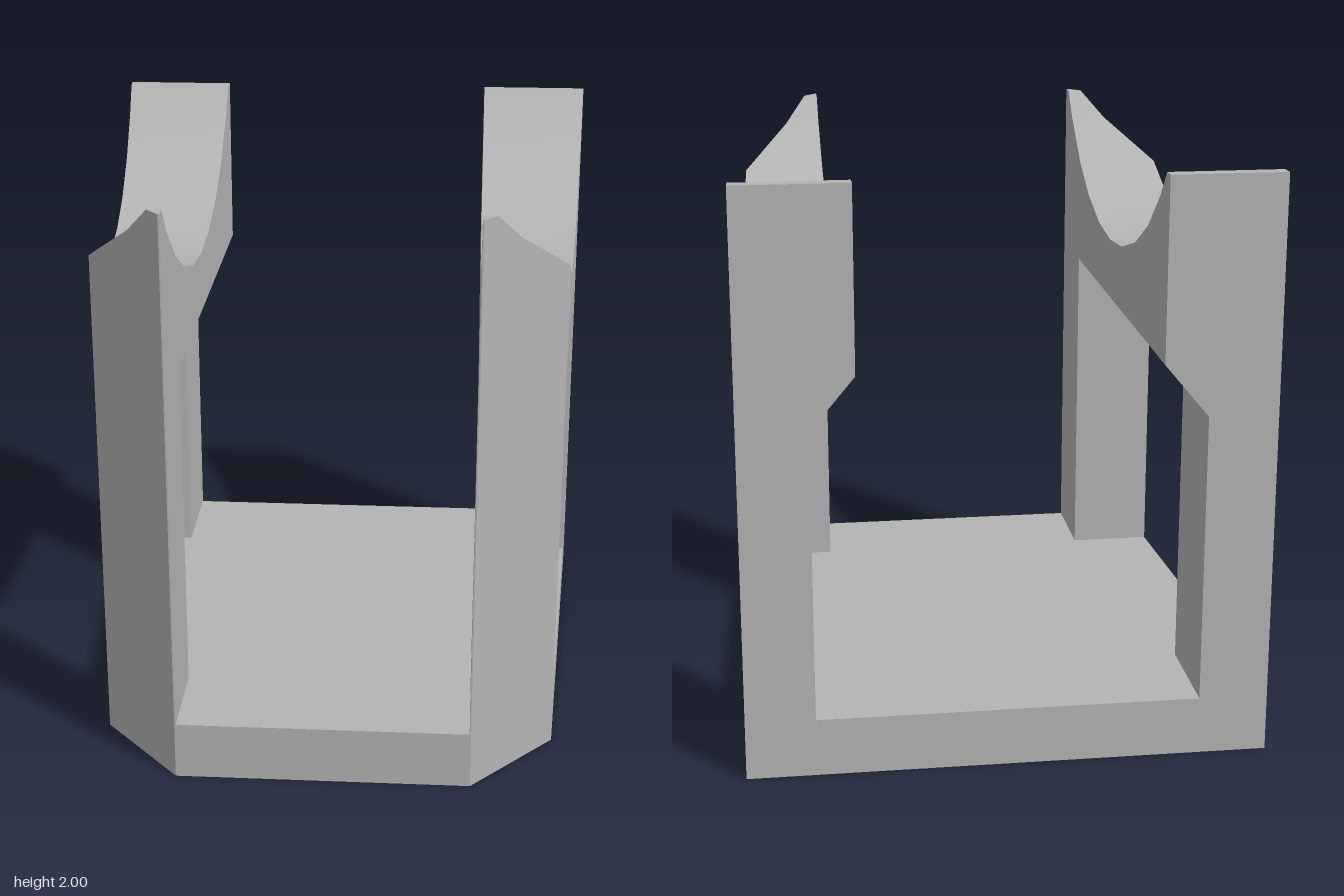
import * as THREE from 'three';
import { toCreasedNormals } from 'three/addons/utils/BufferGeometryUtils.js';

const INNER = 0.5, FLOOR = 0.2, LINTEL = 1.38, HEIGHT = 2;
const BACK = -0.94, KINK = 0.61, FRONT = 0.94;

// Half width of the tapered plan at depth z
const outer = z => z <= KINK
  ? THREE.MathUtils.mapLinear(z, BACK, KINK, 0.885, 0.79)
  : THREE.MathUtils.mapLinear(z, KINK, FRONT, 0.79, 0.505);

// Round saddle cut into the top of the walls
const saddle = z => Math.min(HEIGHT, 2.76 - Math.sqrt(1.17 * 1.17 - z * z));

const extrude = (shape, depth) =>
  new THREE.ExtrudeGeometry(shape, { depth, bevelEnabled: false, curveSegments: 24 });
const shapeOf = pts => new THREE.Shape(pts.map(([x, y]) => new THREE.Vector2(x, y)));

// Wall section: side profile extruded sideways, then fitted between the inner face and the plan
function wall(zs, bottom, side) {
  const pts = zs.map(z => [-z, saddle(z)]);
  pts.push([-zs[zs.length - 1], bottom], [-zs[0], bottom]);
  const geo = extrude(shapeOf(pts), 1).rotateY(Math.PI / 2);
  const p = geo.attributes.position;
  for (let i = 0; i < p.count; i++) {
    const t = side > 0 ? p.getX(i) : 1 - p.getX(i);
    p.setX(i, side * (INNER + t * (outer(p.getZ(i)) - INNER)));
  }
  return toCreasedNormals(geo, 0.45);
}

// Lower back post, widening to the lintel through a sloped shoulder
function backPost(side) {
  const pts = [[INNER, LINTEL], [0.65, 1.2], [0.65, FLOOR], [0.88, FLOOR], [0.88, LINTEL]];
  const geo = extrude(shapeOf(pts.map(([x, y]) => [side * x, y])), 0.37).translate(0, 0, BACK);
  const p = geo.attributes.position;
  for (let i = 0; i < p.count; i++) {
    if (Math.abs(p.getX(i)) > 0.7) p.setX(i, side * outer(p.getZ(i)));
  }
  return toCreasedNormals(geo, 0.45);
}

// Flat slab following the tapered plan, with an optional round hole
function slab(y, height, hole) {
  const half = [BACK, KINK, FRONT].map(z => [outer(z), -z]);
  const shape = shapeOf([...half, ...half.map(([x, v]) => [-x, v]).reverse()]);
  if (hole) shape.holes.push(new THREE.Path().absarc(0, -0.2, 0.38, 0, Math.PI * 2, true));
  return toCreasedNormals(extrude(shape, height).rotateX(-Math.PI / 2).translate(0, y, 0), 0.45);
}

export function createModel() {
  const model = new THREE.Group();
  model.name = 'cradleStand';
  const grey = new THREE.MeshStandardMaterial({ color: 0xb4b4b4 });
  grey.name = 'grey';
  const add = (name, geo) => {
    const mesh = new THREE.Mesh(geo, grey);
    mesh.name = name;
    model.add(mesh);
  };

  // Base with a shallow round recess underneath
  add('baseUnderside', slab(0, 0.05, true));
  add('base', slab(0.05, FLOOR - 0.05, false));

  // Mirrored side frames
  for (const [label, side] of [['left', 1], ['right', -1]]) {
    const upperZ = [BACK, -0.89, -0.8, -0.63, -0.43, -0.21, 0, 0.21, 0.43, KINK];
    add(label + 'Saddle', wall(upperZ, LINTEL, side));
    add(label + 'FrontPost', wall([KINK, 0.8, 0.89, FRONT], FLOOR, side));
    add(label + 'BackPost', backPost(side));
  }
  return model;
}
